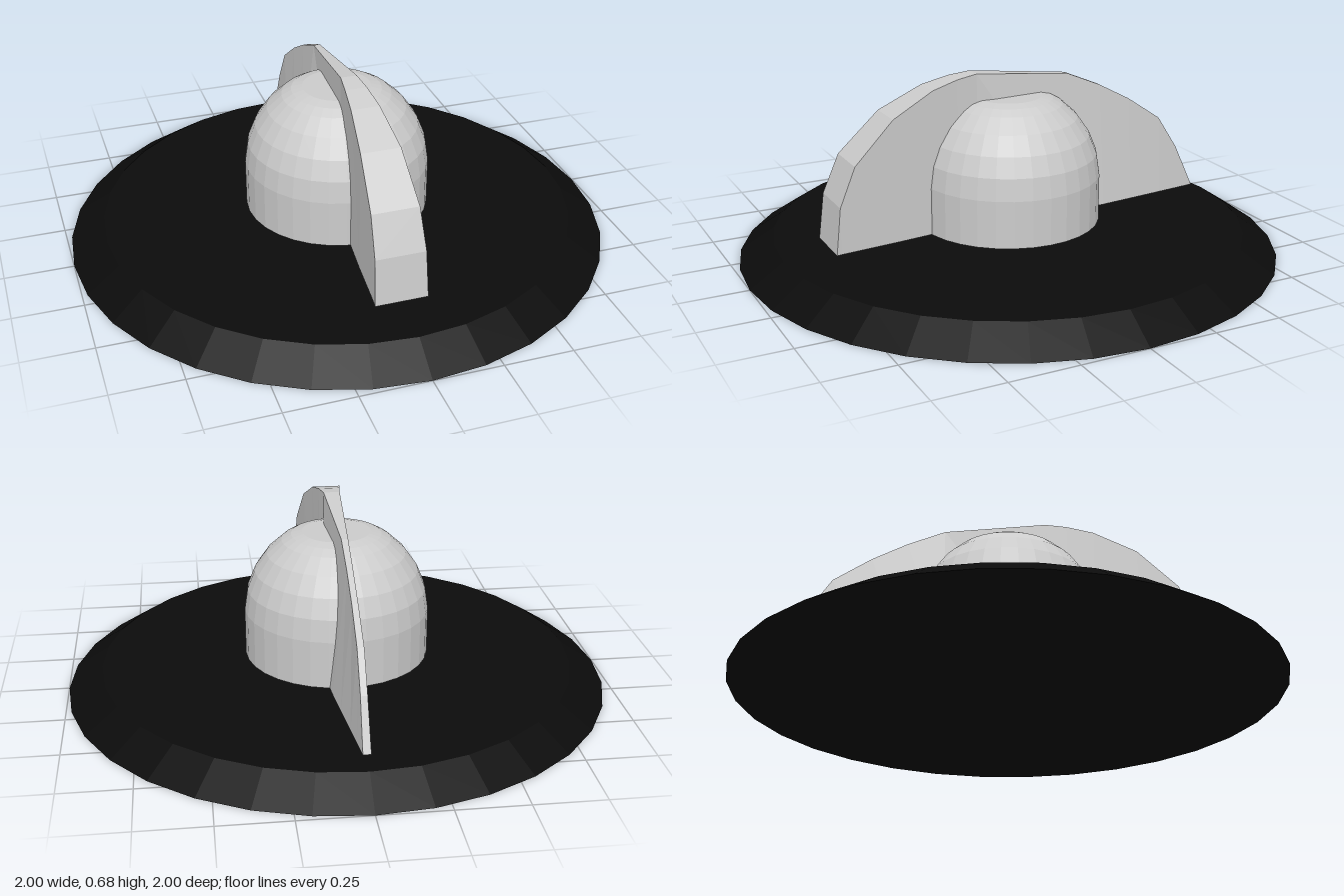
import * as THREE from 'three';

const grey = new THREE.MeshStandardMaterial({ color: 0xcccccc, flatShading: true });
const black = new THREE.MeshStandardMaterial({ color: 0x0b0b0b, flatShading: true });

function lathe(name, profile, material) {
  const points = profile.map(([r, y]) => new THREE.Vector2(r, y));
  const mesh = new THREE.Mesh(new THREE.LatheGeometry(points, 32), material);
  mesh.name = name;
  return mesh;
}

// Each station is [z, top height, half width at top, half width at bottom]
function finGeometry(stations, floor) {
  const pos = [], index = [];
  for (const [z, y, top, bottom] of stations) {
    pos.push(-bottom, floor, z, bottom, floor, z, top, y, z, -top, y, z);
  }
  for (let i = 0; i < stations.length - 1; i++) {
    for (let k = 0; k < 4; k++) {
      const a = i * 4 + k, b = i * 4 + (k + 1) % 4;
      index.push(a, a + 4, b, b, a + 4, b + 4);
    }
  }
  const geo = new THREE.BufferGeometry();
  geo.setAttribute('position', new THREE.Float32BufferAttribute(pos, 3));
  geo.setIndex(index);
  const flat = geo.toNonIndexed();
  flat.computeVertexNormals();
  return flat;
}

export function createModel() {
  const model = new THREE.Group();
  model.name = 'finnedDome';

  // Wide shallow base disc with a bevelled rim
  model.add(lathe('base', [[0, 0], [1, 0], [0.875, 0.083], [0.17, 0.102], [0.17, 0.11], [0, 0.11]], black));

  // Straight-sided dome with a flat cap
  model.add(lathe('dome', [
    [0, 0.11], [0.34, 0.11], [0.34, 0.285], [0.328, 0.365], [0.3, 0.435],
    [0.255, 0.5], [0.2, 0.55], [0.165, 0.57], [0.125, 0.58], [0, 0.58],
  ], grey));

  // Crest that is broad in front, waisted on top and thin behind
  const fin = new THREE.Mesh(finGeometry([
    [0.71, 0.11, 0.095, 0.095],
    [0.69, 0.28, 0.091, 0.092],
    [0.63, 0.42, 0.086, 0.086],
    [0.48, 0.565, 0.072, 0.072],
    [0.32, 0.645, 0.052, 0.054],
    [0.22, 0.67, 0.04, 0.045],
    [0.14, 0.68, 0.03, 0.04],
    [-0.24, 0.635, 0.012, 0.07],
    [-0.38, 0.575, 0.011, 0.06],
    [-0.51, 0.505, 0.011, 0.047],
    [-0.65, 0.41, 0.012, 0.032],
    [-0.735, 0.28, 0.012, 0.023],
    [-0.815, 0.11, 0.014, 0.014],
  ], 0.11), grey);
  fin.name = 'crestFin';
  model.add(fin);

  return model;
}
